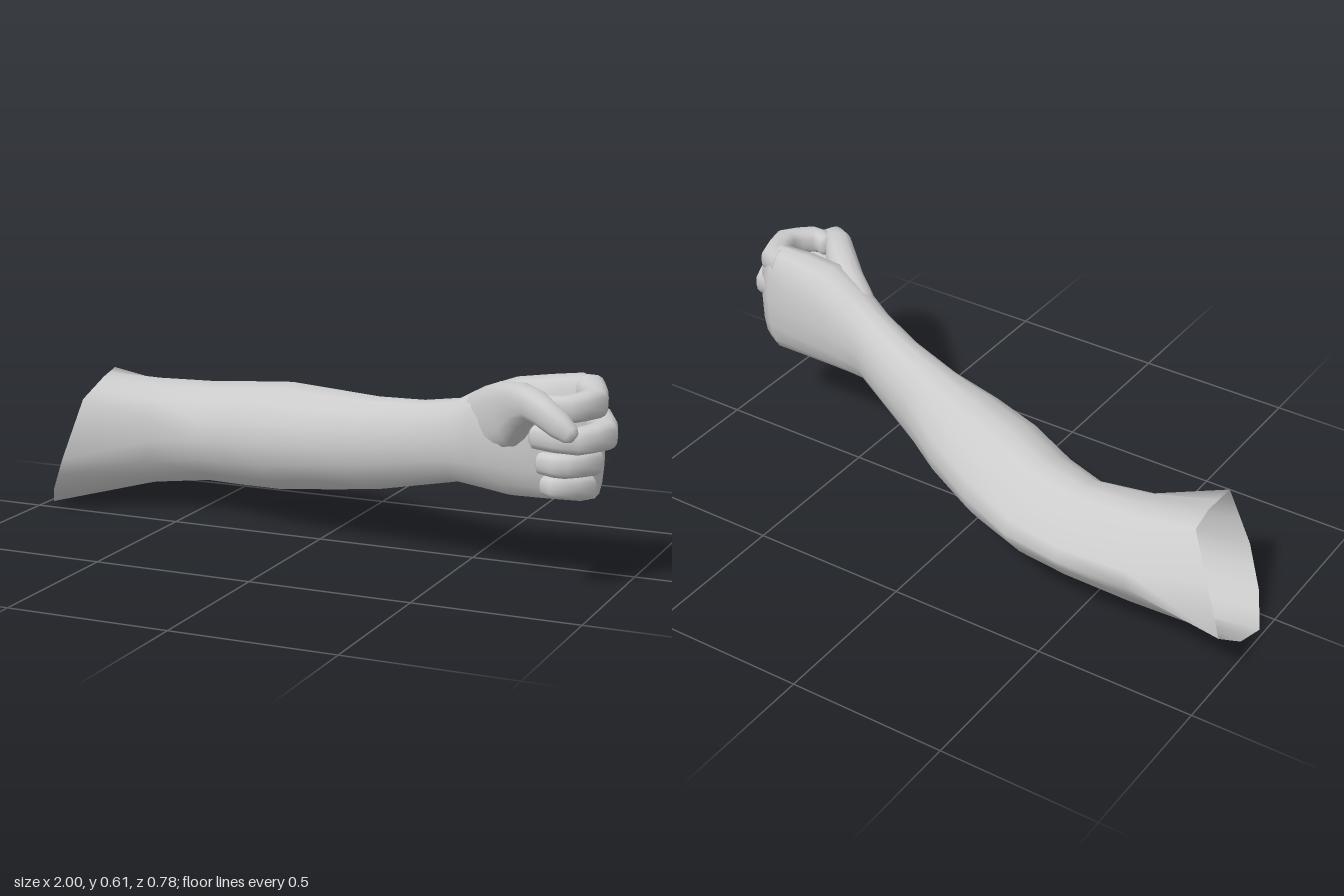
import * as THREE from 'three';

const SIDES = 16;
const material = new THREE.MeshStandardMaterial({ color: 0xcccccc, side: THREE.DoubleSide });

// Rounded section value: power 1 is an ellipse, lower is boxier, 2 is a diamond
const rounded = (v, power) => Math.sign(v) * Math.abs(v) ** power;

function ring(center, sideAxis, upAxis, power, backPower = power) {
  return Array.from({ length: SIDES }, (_, j) => {
    const a = (j / SIDES) * Math.PI * 2;
    const p = Math.cos(a) < 0 ? backPower : power;
    return center.clone()
      .addScaledVector(sideAxis, rounded(Math.cos(a), p))
      .addScaledVector(upAxis, rounded(Math.sin(a), p));
  });
}

// Smooth skin over rings of points, with optional end caps
function loft(name, rings, capStart, capEnd) {
  const points = rings.flat();
  const index = [];
  for (let i = 0; i < rings.length - 1; i++) {
    for (let j = 0; j < SIDES; j++) {
      const k = (j + 1) % SIDES;
      const a = i * SIDES + j, b = i * SIDES + k;
      index.push(a, a + SIDES, b, b, a + SIDES, b + SIDES);
    }
  }
  const cap = (i, flip) => {
    const mid = new THREE.Vector3();
    rings[i].forEach((p) => mid.addScaledVector(p, 1 / SIDES));
    const m = points.push(mid) - 1;
    for (let j = 0; j < SIDES; j++) {
      const a = i * SIDES + j, b = i * SIDES + ((j + 1) % SIDES);
      if (flip) index.push(m, a, b);
      else index.push(m, b, a);
    }
  };
  if (capStart) cap(0, true);
  if (capEnd) cap(rings.length - 1, false);
  const geometry = new THREE.BufferGeometry().setFromPoints(points);
  geometry.setIndex(index);
  geometry.computeVertexNormals();
  const mesh = new THREE.Mesh(geometry, material);
  mesh.name = name;
  return mesh;
}

// Digit along joints [x, y, z, half width, half height], with a blunt tip
function digit(name, joints) {
  const centers = joints.map((p) => new THREE.Vector3(p[0], p[1], p[2]));
  const up = new THREE.Vector3(0, 1, 0);
  const rings = joints.map((p, i) => {
    const before = centers[Math.max(i - 1, 0)];
    const after = centers[Math.min(i + 1, centers.length - 1)];
    const dir = after.clone().sub(before).normalize();
    const side = dir.clone().cross(up).normalize();
    const top = side.clone().cross(dir);
    return ring(centers[i], side.multiplyScalar(p[3]), top.multiplyScalar(p[4]), 0.8);
  });
  return loft(name, rings, true, true);
}

// Slanted open end of the upper arm: eight corners plus their midpoints
function openEnd() {
  const corners = [
    [-0.87, 0.18, 0.068], [-0.81, 0.375, 0.03], [-0.83, 0.415, -0.14], [-0.85, 0.425, -0.25],
    [-1, 0.18, -0.365], [-0.995, 0.06, -0.21], [-0.985, 0, -0.065], [-0.93, 0.065, 0.025],
  ].map((c) => new THREE.Vector3(...c));
  return corners.flatMap((c, i) => [c, c.clone().lerp(corners[(i + 1) % 8], 0.5)]);
}

export function createModel() {
  const model = new THREE.Group();
  model.name = 'arm';

  // Upper arm to knuckles: back x, back z, front x, front z, bottom, top, front and back roundness
  const sections = [
    [-0.70, -0.38, -0.62, -0.045, 0.07, 0.412, 0.95, 1.5],
    [-0.48, -0.392, -0.47, -0.08, 0.086, 0.412, 1, 1.6],
    [-0.30, -0.375, -0.36, -0.05, 0.09, 0.428, 1, 1.5],
    [-0.12, -0.315, -0.20, 0.015, 0.107, 0.452, 1, 1.3],
    [0.07, -0.22, -0.04, 0.055, 0.14, 0.457, 1, 1.15],
    [0.24, -0.11, 0.14, 0.08, 0.175, 0.462, 1, 1],
    [0.40, -0.035, 0.32, 0.125, 0.22, 0.478, 1, 1],
    [0.51, 0.015, 0.47, 0.172, 0.255, 0.505, 0.95, 0.95],
    [0.59, 0.022, 0.55, 0.197, 0.25, 0.55, 0.9, 0.9],
    [0.70, 0.032, 0.65, 0.225, 0.24, 0.59, 0.9, 0.85],
    [0.80, 0.04, 0.76, 0.205, 0.24, 0.605, 0.8, 0.85],
    [0.88, 0.052, 0.85, 0.173, 0.24, 0.614, 0.75, 0.85],
    [0.925, 0.08, 0.895, 0.163, 0.255, 0.6, 0.75, 0.8],
  ];
  const armRings = sections.map(([xb, zb, xf, zf, y0, y1, power, backPower]) => ring(
    new THREE.Vector3((xb + xf) / 2, (y0 + y1) / 2, (zb + zf) / 2),
    new THREE.Vector3((xf - xb) / 2, 0, (zf - zb) / 2),
    new THREE.Vector3(0, (y1 - y0) / 2, 0), power, backPower));
  model.add(loft('armAndPalm', [openEnd(), ...armRings], false, true));

  // Curled fingers: name, knuckle y, tip y, x shift, half height, tip x
  const fingers = [
    ['indexFinger', 0.562, 0.546, -0.025, 0.042, 0.81],
    ['middleFinger', 0.472, 0.459, 0.005, 0.041, 0.775],
    ['ringFinger', 0.381, 0.386, -0.035, 0.038, 0.795],
    ['littleFinger', 0.288, 0.324, -0.053, 0.035, 0.81],
  ];
  for (const [name, y0, y1, dx, h, tip] of fingers) {
    const mix = (t) => y0 + (y1 - y0) * t;
    model.add(digit(name, [
      [0.85, y0, 0.105, 0.045, h * 1.1],
      [0.91 + dx, y0, 0.115, 0.05, h * 1.15],
      [0.937 + dx, mix(0.3), 0.165, 0.042, h * 1.02],
      [0.957 + dx, mix(0.6), 0.22, 0.04, h * 1.03],
      [0.935 + dx, mix(0.8), 0.265, 0.036, h * 0.96],
      [0.905 + dx, y1, 0.3, 0.038, h * 0.94],
      [0.85, y1, 0.305, 0.03, h * 0.9],
      [tip + 0.01, y1, 0.292, 0.027, h * 0.82],
      [tip, y1, 0.288, 0.016, h * 0.55],
    ]));
  }

  // Thumb rising out of the palm and arching over the front of the fist
  model.add(digit('thumb', [
    [0.48, 0.40, 0.09, 0.035, 0.06],
    [0.59, 0.455, 0.145, 0.05, 0.095],
    [0.67, 0.495, 0.195, 0.053, 0.095],
    [0.73, 0.535, 0.25, 0.05, 0.066],
    [0.785, 0.552, 0.31, 0.042, 0.045],
    [0.825, 0.542, 0.343, 0.037, 0.041],
    [0.875, 0.512, 0.358, 0.032, 0.037],
    [0.91, 0.49, 0.363, 0.026, 0.027],
    [0.922, 0.482, 0.364, 0.014, 0.016],
  ]));
  return model;
}
